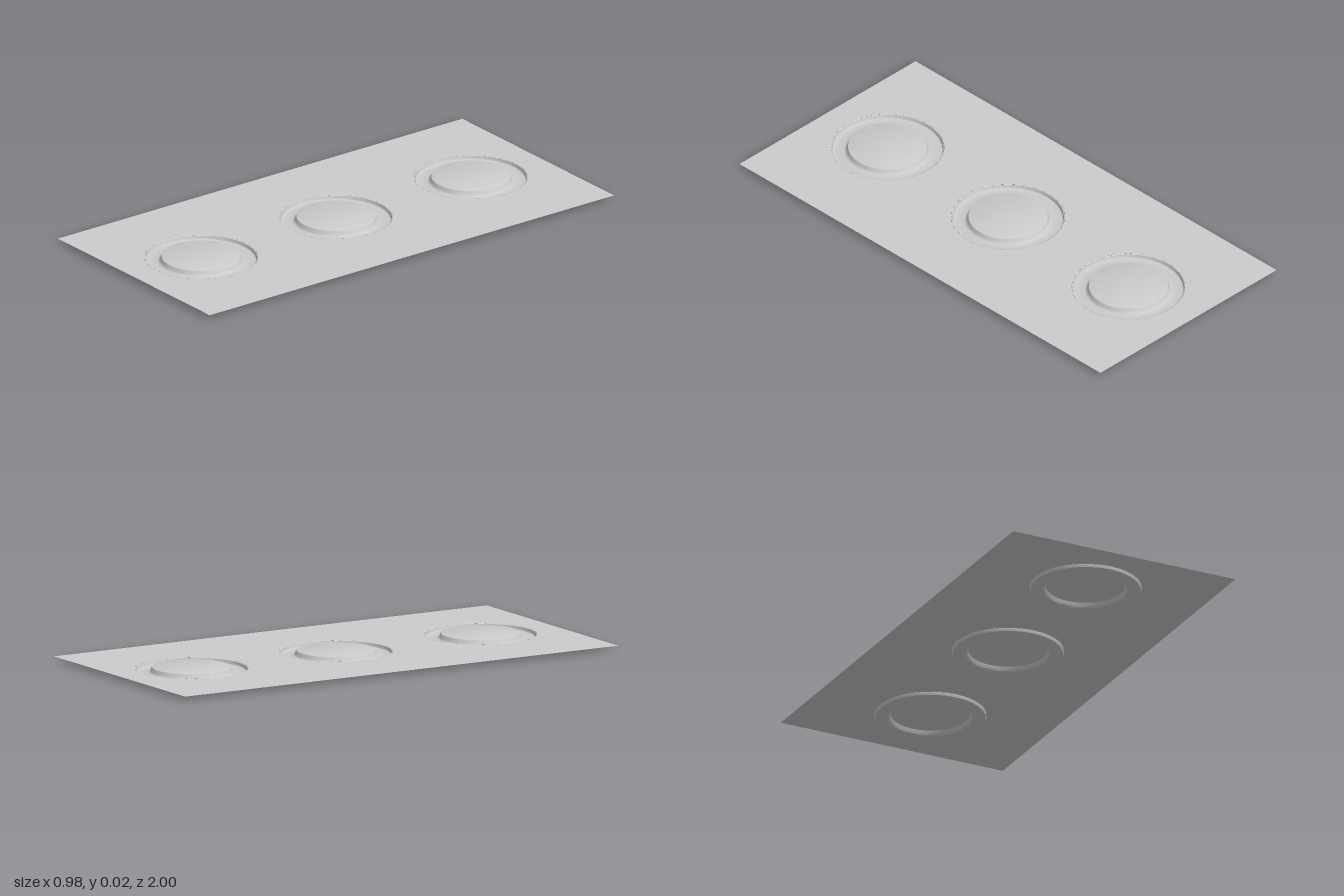
import * as THREE from 'three';
import { toCreasedNormals } from 'three/addons/utils/BufferGeometryUtils.js';

const HALF_WIDTH = 0.49, HALF_LENGTH = 1, SHEET_Y = 0.016;
const RIM = 0.223, SEGMENTS = 64;
const CENTRES = [-0.667, 0, 0.667];

// Pressed ring: rim, rounded groove, then a slightly raised disc
const PROFILE = [
  [RIM, SHEET_Y], [0.22, 0.014], [0.219, 0.006], [0.217, 0.002], [0.212, 0],
  [0.171, 0], [0.165, 0.002], [0.162, 0.006], [0.158, 0.017],
  [0.156, 0.021], [0.15, 0.023], [0, 0.023],
];

export function createModel() {
  const model = new THREE.Group();
  const material = new THREE.MeshStandardMaterial({ color: 0xcccccc, side: THREE.DoubleSide });

  // Thin flat sheet with a round opening for each pressing
  const outline = new THREE.Shape([
    new THREE.Vector2(-HALF_WIDTH, -HALF_LENGTH),
    new THREE.Vector2(HALF_WIDTH, -HALF_LENGTH),
    new THREE.Vector2(HALF_WIDTH, HALF_LENGTH),
    new THREE.Vector2(-HALF_WIDTH, HALF_LENGTH),
  ]);
  for (const z of CENTRES) {
    outline.holes.push(new THREE.Path().absarc(0, -z, RIM, 0, Math.PI * 2, true));
  }
  const sheetGeometry = new THREE.ShapeGeometry(outline, SEGMENTS / 2).rotateX(-Math.PI / 2);
  const openSheet = new THREE.Mesh(sheetGeometry, material);
  openSheet.name = 'sheet';
  openSheet.position.y = SHEET_Y;
  model.add(openSheet);

  // Three identical circular pressings along the sheet
  const points = PROFILE.map(([r, y]) => new THREE.Vector2(r, y));
  const pressing = toCreasedNormals(new THREE.LatheGeometry(points, SEGMENTS / 2), 0.7);
  CENTRES.forEach((z, i) => {
    const mesh = new THREE.Mesh(pressing, material);
    mesh.name = ['backPressing', 'middlePressing', 'frontPressing'][i];
    mesh.position.z = z;
    model.add(mesh);
  });

  return model;
}
